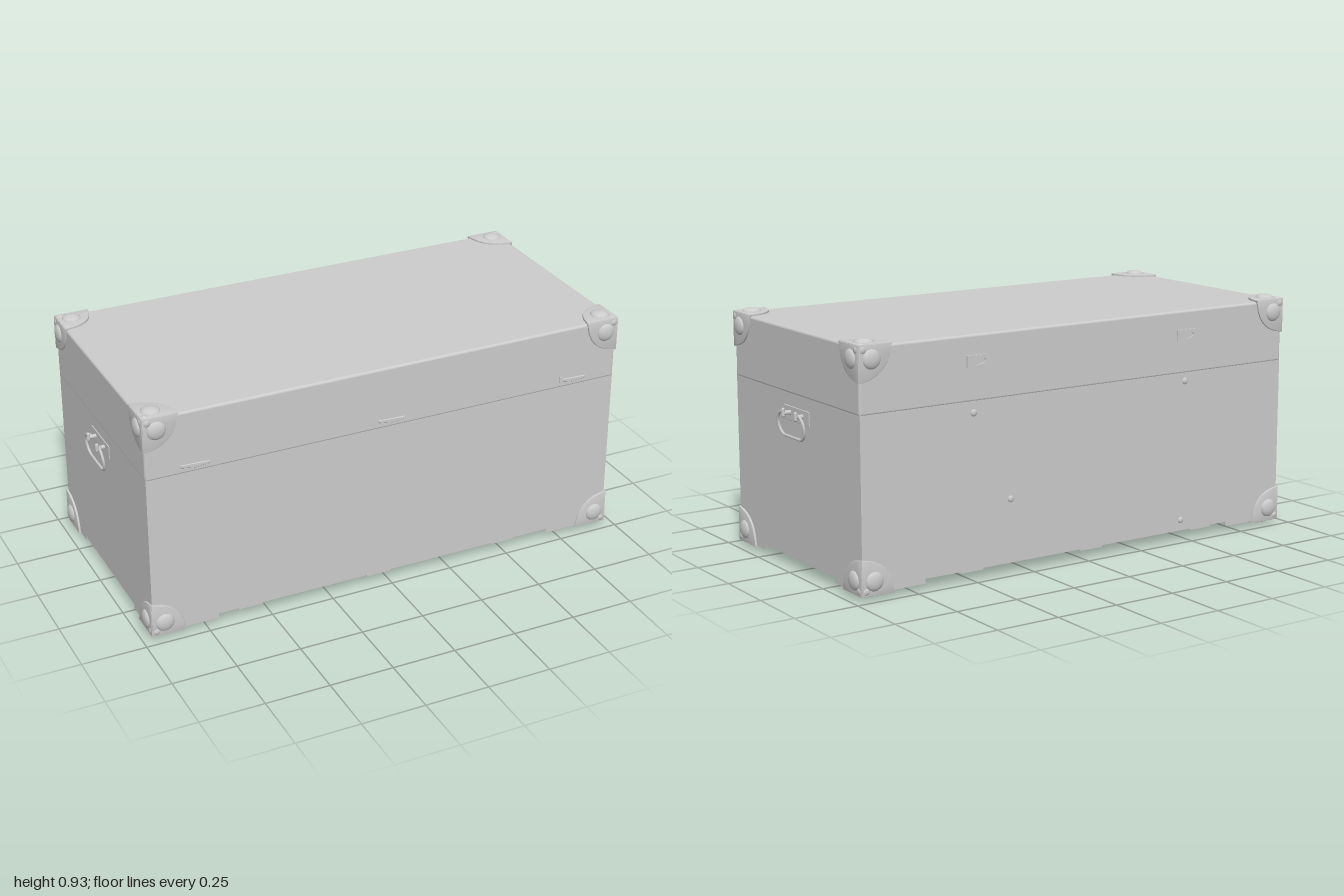
import * as THREE from 'three';
import { RoundedBoxGeometry } from 'three/addons/geometries/RoundedBoxGeometry.js';
import { toCreasedNormals } from 'three/addons/utils/BufferGeometryUtils.js';

const HX = 0.96, HZ = 0.464, BOTTOM = 0.02, TOP = 0.905, SEAM = 0.68;
const FLOOR = 0.08, SKIRT = 0.038;
const mat = new THREE.MeshStandardMaterial({ color: 0xcccccc });

function add(parent, name, geo, x = 0, y = 0, z = 0) {
  const m = new THREE.Mesh(geo, mat);
  m.name = name;
  m.position.set(x, y, z);
  parent.add(m);
  return m;
}

const box = (w, h, d) => new THREE.BoxGeometry(w, h, d);

function polygon(points) {
  return new THREE.Shape(points.map(p => new THREE.Vector2(...p)));
}

// Chest body, lid and raised underside frame
function makeBody(g) {
  add(g, 'chestBody', box(HX * 2, SEAM - FLOOR, HZ * 2), 0, (SEAM + FLOOR) / 2, 0);
  add(g, 'lid', new RoundedBoxGeometry(HX * 2 + 0.004, TOP - SEAM + 0.02, HZ * 2 + 0.004, 3, 0.01),
    0, (TOP + SEAM - 0.02) / 2, 0);

  const frame = polygon([[-HX, -HZ], [HX, -HZ], [HX, HZ], [-HX, HZ]]);
  const ix = HX - 0.025, iz = HZ - 0.025;
  frame.holes.push(new THREE.Path([[-ix, -iz], [-ix, iz], [ix, iz], [ix, -iz]].map(p => new THREE.Vector2(...p))));
  const skirt = new THREE.ExtrudeGeometry(frame, { depth: FLOOR - SKIRT, bevelEnabled: false });
  skirt.rotateX(-Math.PI / 2);
  add(g, 'bottomFrame', skirt, 0, SKIRT, 0);

  // Cross battens under the floor
  for (const x of [-0.57, -0.04, 0.5])
    add(g, 'bottomBatten', box(0.1, FLOOR - 0.031, HZ * 2 - 0.004), x, (FLOOR + 0.031) / 2, 0);

  // Triangular corner feet
  for (const sx of [-1, 1]) for (const sz of [-1, 1]) {
    const foot = polygon([[sx * HX, sz * HZ], [sx * 0.7, sz * HZ], [sx * 0.73, sz * (HZ - 0.03)],
      [sx * (HX - 0.03), sz * 0.29], [sx * HX, sz * 0.27]]);
    const geo = new THREE.ExtrudeGeometry(foot, { depth: FLOOR - BOTTOM, bevelEnabled: false });
    geo.rotateX(-Math.PI / 2);
    add(g, 'cornerFoot', geo, 0, BOTTOM, 0);
  }
}

// Metal corner cap: three curved plates with domes around one corner
function makeCornerCap() {
  const cap = new THREE.Group();
  cap.name = 'cornerCap';
  const s = new THREE.Shape();
  s.moveTo(0.002, 0.002);
  s.lineTo(-0.125, 0.002);
  s.lineTo(-0.118, -0.03);
  s.quadraticCurveTo(-0.1, -0.1, -0.03, -0.118);
  s.lineTo(0.002, -0.125);
  const plate = toCreasedNormals(new THREE.ExtrudeGeometry(s, {
    depth: 0.004, bevelThickness: 0.004, bevelSize: 0.004, bevelSegments: 2, curveSegments: 10,
  }), 0.7);
  const dome = new THREE.SphereGeometry(0.036, 20, 8, 0, Math.PI * 2, 0, Math.PI / 2);
  dome.scale(1, 0.42, 1).rotateX(Math.PI / 2);
  const axis = new THREE.Vector3(1, 1, 1).normalize();
  for (let i = 0; i < 3; i++) {
    const face = new THREE.Group();
    face.name = 'capFace';
    face.quaternion.setFromAxisAngle(axis, i * Math.PI * 2 / 3);
    add(face, 'capPlate', plate);
    add(face, 'capDome', dome, -0.046, -0.046, 0.006);
    cap.add(face);
  }
  add(cap, 'capTip', new THREE.SphereGeometry(0.024, 16, 12), -0.012, -0.012, -0.012);
  return cap;
}

// Open loop handle hanging from two eyes, facing +z before placement
function makeHandle() {
  const h = new THREE.Group();
  h.name = 'handle';
  const half = [[0.045, 0.045, 0.018], [0.06, 0.048, 0.026], [0.085, 0.035, 0.028],
    [0.098, 0.008, 0.026], [0.09, -0.024, 0.022], [0.068, -0.04, 0.02], [0.03, -0.042, 0.02]];
  const pts = [...half, ...half.slice().reverse().map(([x, y, z]) => [-x, y, z])];
  const curve = new THREE.CatmullRomCurve3(pts.map(p => new THREE.Vector3(...p)));
  add(h, 'handleLoop', new THREE.TubeGeometry(curve, 64, 0.0055, 8));
  add(h, 'handlePlate', new RoundedBoxGeometry(0.19, 0.055, 0.006, 2, 0.0025), 0, 0.038, 0);
  for (const s of [-1, 1]) {
    const stem = new THREE.CylinderGeometry(0.007, 0.009, 0.036, 10).rotateX(Math.PI / 2);
    add(h, 'handleStem', stem, s * 0.047, 0.042, 0.016);
    add(h, 'handleEye', new THREE.CapsuleGeometry(0.007, 0.022, 4, 10), s * 0.047, 0.044, 0.032);
  }
  return h;
}

// Sliver latches along the front seam
function makeLatches(g) {
  const latch = new THREE.ExtrudeGeometry(
    polygon([[-0.055, 0.006], [-0.05, -0.002], [0.0, -0.01], [0.055, -0.006], [0.055, 0.002]]),
    { depth: 0.006, bevelSize: 0.002, bevelThickness: 0.002, bevelSegments: 1 });
  for (const x of [-0.775, 0.005, 0.775]) add(g, 'frontLatch', latch, x, 0.69, HZ - 0.002);
  add(g, 'latchTab', box(0.014, 0.026, 0.008), 0.727, 0.694, HZ + 0.002);
}

// Small hinge frames and studs on the back
function makeBackFittings(g) {
  const s = polygon([[-0.045, -0.022], [0.045, -0.022], [0.045, 0.022], [-0.045, 0.022]]);
  s.holes.push(new THREE.Path().absellipse(0, 0, 0.034, 0.014, 0, Math.PI * 2, true));
  const hinge = new THREE.ExtrudeGeometry(s, { depth: 0.006, bevelEnabled: false });
  for (const [x, out] of [[-0.48, 0.007], [0.48, 0.014]])
    add(g, 'backHinge', hinge, x, 0.81, -HZ - out);
  add(g, 'hingePin', box(0.05, 0.012, 0.012), 0.48, 0.825, -HZ - 0.01);
  const stud = new THREE.SphereGeometry(0.013, 12, 8).scale(1, 1, 0.5);
  for (const [x, y] of [[-0.48, 0.63], [0.49, 0.62], [0.33, 0.28], [-0.47, 0.08]])
    add(g, 'backStud', stud, x, y, -HZ);
}

export function createModel() {
  const g = new THREE.Group();
  g.name = 'trunk';
  makeBody(g);

  // Eight corner caps, each a rotated copy
  const midY = (TOP + BOTTOM) / 2, halfY = (TOP - BOTTOM) / 2;
  for (const flip of [0, Math.PI]) for (let k = 0; k < 4; k++) {
    const cap = makeCornerCap();
    cap.rotation.set(flip, k * Math.PI / 2, 0);
    const d = new THREE.Vector3(1, 1, 1).applyEuler(cap.rotation).round();
    cap.position.set(d.x * HX, midY + d.y * halfY, d.z * HZ);
    g.add(cap);
  }

  // End handles
  for (const s of [-1, 1]) {
    const h = makeHandle();
    h.rotation.y = s * Math.PI / 2;
    h.position.set(s * HX, 0.55, -0.01);
    g.add(h);
  }

  makeLatches(g);
  makeBackFittings(g);
  return g;
}
